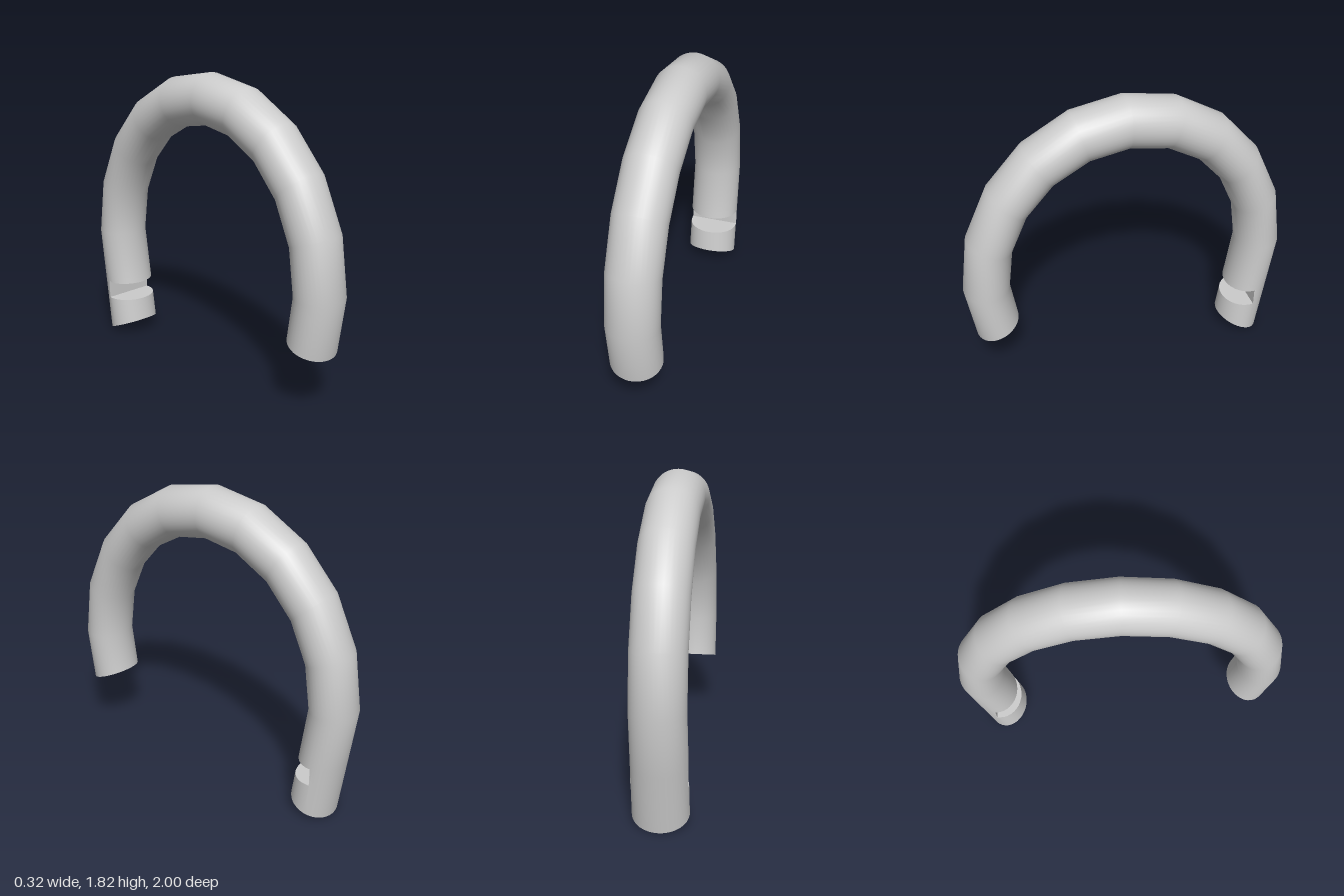
import * as THREE from 'three';
import { toCreasedNormals } from 'three/addons/utils/BufferGeometryUtils.js';

const SIDES = 36;

// Elliptical ring from its outer and inner points in the z/y plane
function ring([oz, oy], [iz, iy], rx = 0.155) {
  const points = [];
  for (let j = 0; j <= SIDES; j++) {
    const t = (j / SIDES) * Math.PI * 2, c = Math.cos(t) / 2;
    points.push(new THREE.Vector3(
      Math.sin(t) * rx,
      (oy + iy) / 2 + (oy - iy) * c,
      (oz + iz) / 2 + (oz - iz) * c));
  }
  return points;
}

// Skin a list of rings, with crisp edges at the cap and notch
function skin(rings) {
  const pos = [];
  const add = (...pts) => pts.forEach((p) => pos.push(p.x, p.y, p.z));
  for (let i = 0; i < rings.length - 1; i++) {
    const a = rings[i], b = rings[i + 1];
    for (let j = 0; j < SIDES; j++) {
      add(a[j], a[j + 1], b[j]);
      add(b[j], a[j + 1], b[j + 1]);
    }
  }
  const g = new THREE.BufferGeometry();
  g.setAttribute('position', new THREE.Float32BufferAttribute(pos, 3));
  return toCreasedNormals(g, 0.7);
}

export function createModel() {
  const group = new THREE.Group();
  group.name = 'shackle';

  // Arch sections from the front leg to the crown: [outer, inner] as [z, y]
  const half = [
    [[1.0, 0.69], [0.725, 0.69]],
    [[0.95, 1.045], [0.69, 0.95]],
    [[0.805, 1.36], [0.59, 1.175]],
    [[0.59, 1.6], [0.43, 1.355]],
    [[0.31, 1.76], [0.225, 1.47]],
  ];
  const mirrored = half.map((s) => s.map(([z, y]) => [-z, y])).reverse();
  const sections = [...half, [[0, 1.815], [0, 1.508]], ...mirrored];
  const arch = sections.map(([o, i]) => ring(o, i));

  // Short front leg, closed at its end
  const frontEnd = ring([0.95, 0.35], [0.69, 0.445]);
  const frontCap = frontEnd.map(() => new THREE.Vector3(0, 0.3975, 0.82));

  // Long back leg, cut level at a height to form the locking notch
  const legTop = arch[arch.length - 1];
  const legEnd = ring([-0.9, 0.0], [-0.64, 0.102], 0.16);
  const cutAt = (y) => legTop.map((p, j) =>
    p.clone().lerp(legEnd[j], (p.y - y) / (p.y - legEnd[j].y)));
  const flatten = (r) => r.map((p) =>
    new THREE.Vector3(p.x, p.y, Math.min(p.z, -0.82)));
  const notchTop = cutAt(0.355), notchBottom = cutAt(0.245);

  const material = new THREE.MeshStandardMaterial({ color: 0xcccccc, side: THREE.DoubleSide });
  const bar = new THREE.Mesh(skin([
    frontCap, frontEnd, ...arch,
    notchTop, flatten(notchTop), flatten(notchBottom), notchBottom,
    legEnd,
  ]), material);
  bar.name = 'notchedBar';
  group.add(bar);
  return group;
}
